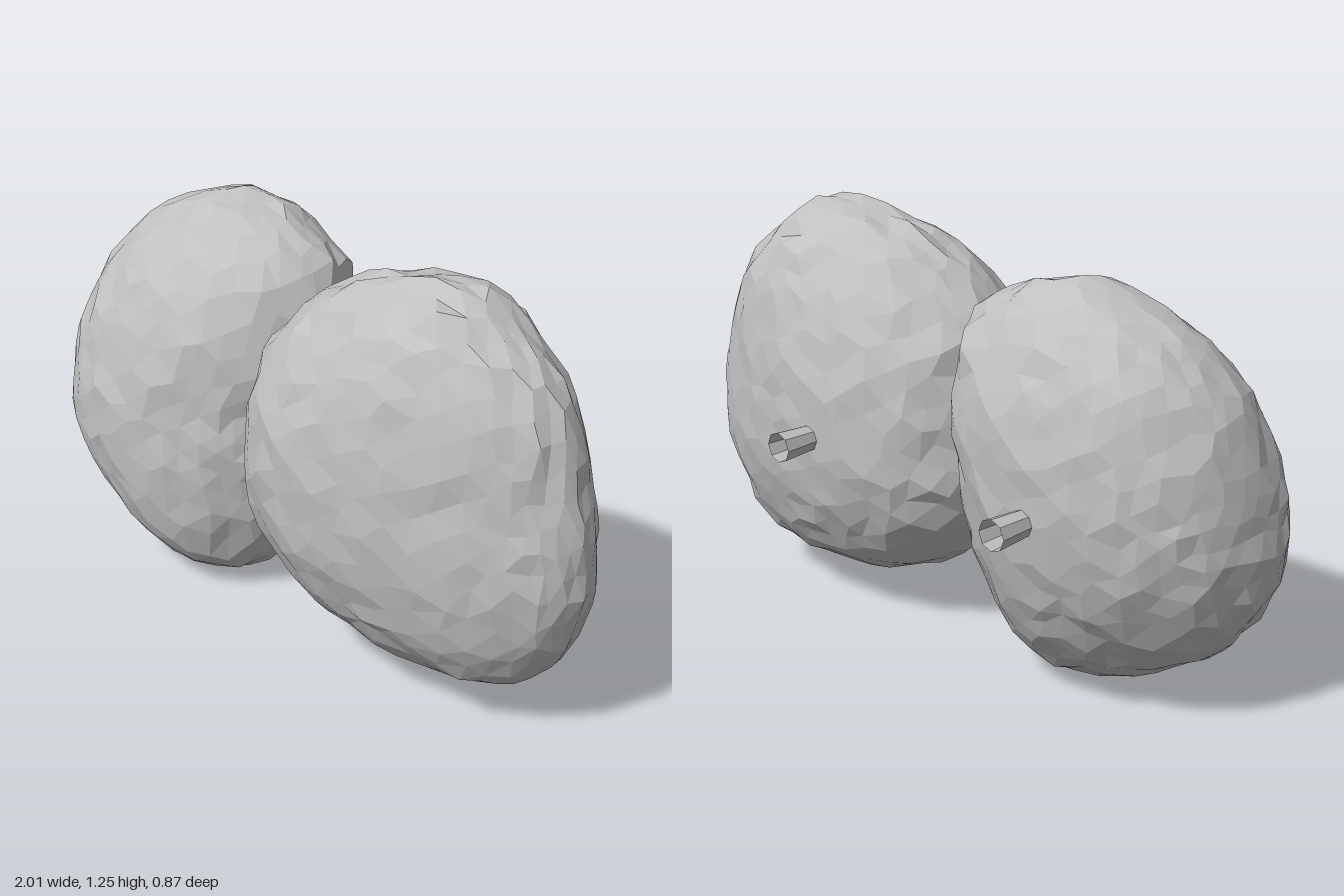
import * as THREE from 'three';
import { mergeVertices } from 'three/addons/utils/BufferGeometryUtils.js';

const stone = new THREE.MeshStandardMaterial({ color: 0xc0c0c0, flatShading: true, side: THREE.DoubleSide });
stone.name = 'grey stone';

// Small seeded generator returning values in -1..1
function seeded(seed) {
  let s = seed;
  return () => {
    s = (s * 16807) % 2147483647;
    return (s / 2147483647) * 2 - 1;
  };
}

// Polar radius of a closed outline around a centre
function polarOutline(points, cx, cy) {
  const polar = points
    .map(([x, y]) => ({ a: Math.atan2(y - cy, x - cx), r: Math.hypot(x - cx, y - cy) }))
    .sort((p, q) => p.a - q.a);
  const first = polar[0], last = polar[polar.length - 1];
  const ring = [
    { a: last.a - 2 * Math.PI, r: last.r }, ...polar,
    { a: first.a + 2 * Math.PI, r: first.r },
  ];
  return (angle) => {
    let i = 1;
    while (i < ring.length - 1 && ring[i].a < angle) i++;
    const p = ring[i - 1], q = ring[i];
    return p.r + (q.r - p.r) * (angle - p.a) / (q.a - p.a);
  };
}

// A faceted boulder: a sphere stretched to an outline, leaned, turned, tapered and roughened
function boulder(name, { outline, cx, cy, cz, depth, fullness, lean, turn, taper, seed }) {
  const radius = polarOutline(outline, cx, cy);
  const random = seeded(seed);
  let geo = new THREE.IcosahedronGeometry(1, 7);
  geo.deleteAttribute('uv');
  geo.deleteAttribute('normal');
  geo = mergeVertices(geo, 1e-4);
  const pos = geo.attributes.position;
  const v = new THREE.Vector3();
  for (let i = 0; i < pos.count; i++) {
    v.fromBufferAttribute(pos, i);
    v.x += random() * 0.03;
    v.y += random() * 0.03;
    v.z += random() * 0.03;
    v.normalize();
    const rough = 0.992 + 0.018 * random();
    const rho = Math.hypot(v.x, v.y);
    v.multiplyScalar(rough * (rho ** fullness + Math.abs(v.z) ** fullness) ** (-1 / fullness));
    const r = radius(Math.atan2(v.y, v.x));
    pos.setXYZ(i, cx + v.x * r, cy + v.y * r,
      cz + lean * v.y * r + turn * v.x + v.z * depth * (1 - taper * v.x));
  }
  geo = geo.toNonIndexed();
  geo.computeVertexNormals();
  const mesh = new THREE.Mesh(geo, stone);
  mesh.name = name;
  return mesh;
}

// Short flared tube standing out of the back
function backPeg(name, x, y) {
  const geo = new THREE.CylinderGeometry(0.046, 0.036, 0.16, 8, 1, true);
  geo.rotateX(-Math.PI / 2);
  const mesh = new THREE.Mesh(geo, stone);
  mesh.position.set(x, y, -0.36);
  mesh.name = name;
  return mesh;
}

export function createModel() {
  const group = new THREE.Group();
  group.name = 'pairOfBoulders';

  group.add(boulder('rightBoulder', {
    outline: [
      [-0.48, 1.22], [-0.3, 1.19], [-0.12, 1.1], [-0.07, 0.93], [-0.08, 0.65], [-0.1, 0.4],
      [-0.16, 0.2], [-0.25, 0.06], [-0.4, 0], [-0.55, 0.03], [-0.7, 0.1], [-0.87, 0.22],
      [-0.97, 0.37], [-1, 0.6], [-0.96, 0.8], [-0.88, 0.98], [-0.75, 1.11], [-0.6, 1.18],
    ],
    cx: -0.54, cy: 0.6, cz: 0.045, depth: 0.375, fullness: 2, lean: -0.11, turn: -0.05, taper: 0.05, seed: 4217,
  }));

  group.add(boulder('leftBoulder', {
    outline: [
      [-0.06, 0.95], [0.02, 1.05], [0.15, 1.15], [0.35, 1.23], [0.48, 1.26], [0.62, 1.26],
      [0.72, 1.18], [0.83, 1.09], [0.91, 0.97], [0.95, 0.8], [1, 0.6], [0.99, 0.42],
      [0.92, 0.27], [0.82, 0.15], [0.6, 0.1], [0.4, 0.11], [0.2, 0.15], [0.05, 0.25],
      [-0.05, 0.35], [-0.1, 0.45], [-0.1, 0.7],
    ],
    cx: 0.45, cy: 0.65, cz: 0, depth: 0.335, fullness: 2.1, lean: 0, turn: -0.06, taper: 0.28, seed: 9133,
  }));

  group.add(backPeg('rightBackPeg', -0.52, 0.62));
  group.add(backPeg('leftBackPeg', 0.35, 0.62));
  return group;
}
